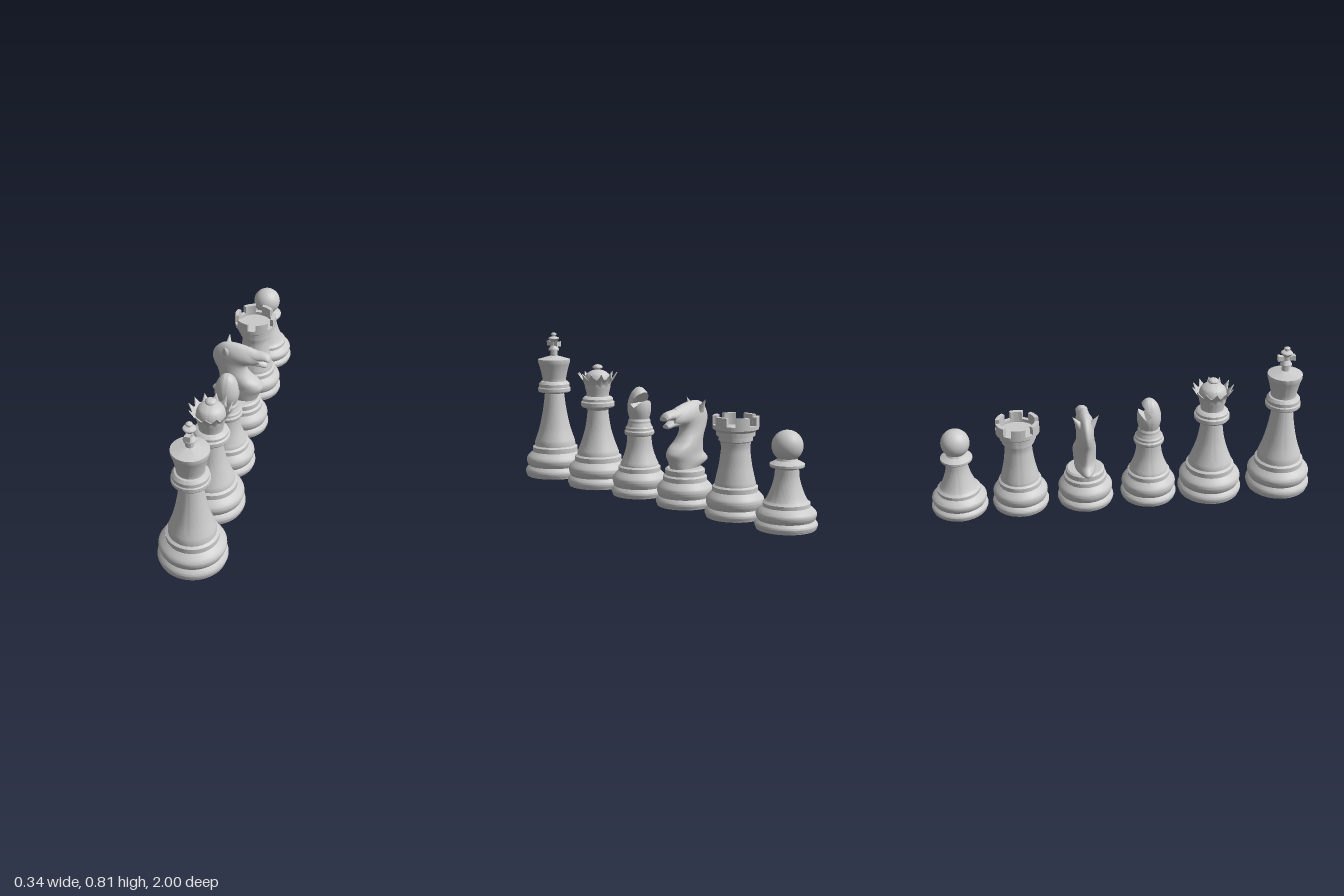
import * as THREE from 'three';
import { toCreasedNormals } from 'three/addons/utils/BufferGeometryUtils.js';

const mat = new THREE.MeshStandardMaterial({ color: 0xcccccc, side: THREE.DoubleSide });
const V2 = (p) => new THREE.Vector2(p[0], p[1]);

function add(group, name, geo) {
  const m = new THREE.Mesh(geo, mat);
  m.name = name;
  group.add(m);
  return m;
}

// Smooth run of profile points
const smooth = (pts, n = 14) =>
  new THREE.SplineCurve(pts.map(V2)).getPoints(n).map((p) => [p.x, p.y]);

const turn = (pts, seg = 64) => new THREE.LatheGeometry(pts.map(V2), seg);
const lathe = (pts, seg) => toCreasedNormals(turn(pts, seg), 0.5);

// Stepped foot: R radius, a foot roll top, b bulge top, c ring top
function foot(R, a, b, c) {
  return [
    [0, 0], [R * 0.955, 0],
    ...smooth([[R * 0.955, 0.002], [R, a * 0.4], [R * 0.98, a * 0.7], [R * 0.895, a]], 10),
    ...smooth([[R * 0.895, a], [R * 0.955, a + (b - a) * 0.3], [R * 0.94, a + (b - a) * 0.62], [R * 0.76, b]], 12),
    [R * 0.755, b], [R * 0.755, c], [R * 0.68, c + 0.008],
  ];
}

// Skin over sections [backX, backY, frontX, frontY, halfWidth]
function loft(sections, steps = 64, sides = 32) {
  const back = new THREE.CatmullRomCurve3(sections.map((s) => new THREE.Vector3(s[0], s[1], s[4])));
  const front = new THREE.CatmullRomCurve3(sections.map((s) => new THREE.Vector3(s[2], s[3], 0)));
  const pos = [], idx = [];
  for (let i = -1; i <= steps + 1; i++) {
    const t = THREE.MathUtils.clamp(i / steps, 0, 1);
    const k = i < 0 || i > steps ? 0 : 1; // collapsed end rings close the skin
    const b = back.getPoint(t), f = front.getPoint(t);
    for (let j = 0; j < sides; j++) {
      const a = (j / sides) * Math.PI * 2, c = Math.cos(a) * k;
      pos.push((b.x + f.x) / 2 + ((f.x - b.x) / 2) * c, (b.y + f.y) / 2 + ((f.y - b.y) / 2) * c,
        b.z * Math.sin(a) * (0.92 + 0.25 * c) * k);
    }
  }
  for (let i = 0; i < steps + 2; i++)
    for (let j = 0; j < sides; j++) {
      const n = (j + 1) % sides, p = i * sides, q = p + sides;
      idx.push(p + j, q + j, p + n, p + n, q + j, q + n);
    }
  const g = new THREE.BufferGeometry();
  g.setAttribute('position', new THREE.Float32BufferAttribute(pos, 3));
  g.setIndex(idx);
  g.computeVertexNormals();
  return g;
}

function king(g) {
  add(g, 'kingBody', lathe([
    ...foot(0.168, 0.058, 0.137, 0.163),
    ...smooth([[0.113, 0.195], [0.099, 0.235], [0.088, 0.27], [0.073, 0.335], [0.062, 0.4], [0.054, 0.467]]),
    [0.088, 0.475], [0.091, 0.48], [0.091, 0.497], [0.086, 0.502], [0.086, 0.52], [0.075, 0.534], [0.066, 0.537],
    ...smooth([[0.066, 0.548], [0.07, 0.57], [0.078, 0.605], [0.089, 0.641]], 8),
    [0.089, 0.658], [0.02, 0.678], [0.02, 0.708], [0, 0.708],
  ]));
  add(g, 'crossUpright', lathe([
    [0, 0.708], [0.03, 0.708], [0.03, 0.714], [0.017, 0.735], [0.017, 0.756], [0.031, 0.774], [0.028, 0.779],
    [0.01, 0.786], [0.01, 0.79], [0.016, 0.795], [0.015, 0.801], [0.007, 0.806], [0, 0.806],
  ], 24));
  for (const s of [1, -1]) {
    const arm = new THREE.CylinderGeometry(0.02, 0.012, 0.045, 4).toNonIndexed();
    arm.computeVertexNormals();
    arm.rotateY(Math.PI / 4).rotateX((s * Math.PI) / 2).translate(0, 0.746, s * 0.0225);
    add(g, 'crossArm', arm);
  }
}

function queen(g) {
  add(g, 'queenBody', lathe([
    ...foot(0.167, 0.055, 0.135, 0.16),
    ...smooth([[0.112, 0.185], [0.098, 0.22], [0.084, 0.26], [0.07, 0.31], [0.06, 0.37], [0.056, 0.412]]),
    [0.062, 0.42], [0.085, 0.427], [0.091, 0.435], [0.091, 0.454], [0.083, 0.46], [0.083, 0.473],
    [0.072, 0.483], [0.06, 0.487], [0.06, 0.5], [0.068, 0.53], [0.072, 0.565],
    ...smooth([[0.068, 0.588], [0.058, 0.607], [0.035, 0.622], [0.015, 0.628]], 10),
    ...smooth([[0.012, 0.63], [0.026, 0.636], [0.026, 0.646], [0.013, 0.655], [0, 0.657]], 10),
  ]));
  // Flared crown, its rim scooped between the points
  const crown = turn([[0.06, 0.5], [0.066, 0.53], [0.078, 0.565], [0.093, 0.592], [0.109, 0.612],
    [0.104, 0.612], [0.088, 0.592], [0.074, 0.565], [0.062, 0.53]], 96);
  const p = crown.attributes.position;
  for (let i = 0; i < p.count; i++) {
    const x = p.getX(i), y = p.getY(i), z = p.getZ(i), a = Math.atan2(z, x);
    const d = 0.034 * Math.abs(Math.sin(a * 6)) * THREE.MathUtils.clamp((y - 0.53) / 0.08, 0, 1);
    const k = 1 - (d * 0.6) / Math.hypot(x, z);
    p.setXYZ(i, x * k, y - d, z * k);
  }
  add(g, 'queenCrown', toCreasedNormals(crown, 0.5));
}

const smallFoot = foot(0.146, 0.047, 0.126, 0.148);

function bishop(g) {
  add(g, 'bishopBody', lathe([
    ...smallFoot,
    ...smooth([[0.099, 0.165], [0.088, 0.19], [0.074, 0.23], [0.066, 0.27], [0.063, 0.312]]),
    [0.075, 0.317], [0.078, 0.323], [0.078, 0.335], [0.072, 0.342], [0.072, 0.354], [0.064, 0.362],
    ...smooth([[0.064, 0.364], [0.058, 0.38], [0.058, 0.39]], 5), [0.052, 0.4], [0, 0.4],
  ]));
  // Pointed head with a slanted slot cut from the back
  const head = turn(smooth([[0.05, 0.395], [0.059, 0.43], [0.062, 0.46], [0.057, 0.495],
    [0.043, 0.532], [0.022, 0.557], [0, 0.566]], 110), 128);
  const p = head.attributes.position, c = Math.cos(0.86), s = Math.sin(0.86);
  for (let i = 0; i < p.count; i++) {
    const u = -p.getZ(i) - 0.008, v = p.getY(i) - 0.472;
    const along = u * c + v * s, across = v * c - u * s;
    if (along > 0 && Math.abs(across) < 0.018) {
      p.setZ(i, p.getZ(i) + along * c);
      p.setY(i, p.getY(i) - along * s);
    }
  }
  add(g, 'bishopHead', toCreasedNormals(head, 0.6));
}

function knight(g) {
  add(g, 'knightBase', lathe([...smallFoot, [0.1, 0.168], [0.1, 0.182], [0.09, 0.19], [0, 0.19]]));
  add(g, 'horseNeckAndHead', loft([
    [-0.095, 0.185, 0.085, 0.185, 0.055], [-0.16, 0.22, 0.103, 0.225, 0.06], [-0.126, 0.26, 0.116, 0.26, 0.062],
    [-0.12, 0.3, 0.1, 0.288, 0.063], [-0.128, 0.35, 0.06, 0.32, 0.058], [-0.148, 0.395, 0.035, 0.355, 0.05],
    [-0.156, 0.435, 0.028, 0.383, 0.047], [-0.143, 0.478, 0.035, 0.4, 0.048], [-0.1, 0.517, 0.05, 0.403, 0.05],
    [-0.04, 0.522, 0.075, 0.405, 0.047], [0.03, 0.508, 0.09, 0.408, 0.039], [0.075, 0.493, 0.105, 0.415, 0.033],
  ], 90));
  add(g, 'upperMuzzle', loft([
    [0.03, 0.505, 0.06, 0.43, 0.037], [0.08, 0.49, 0.09, 0.435, 0.035], [0.115, 0.485, 0.116, 0.44, 0.033],
    [0.14, 0.477, 0.138, 0.438, 0.033], [0.154, 0.46, 0.152, 0.437, 0.026],
  ], 24));
  add(g, 'lowerJaw', loft([
    [0.05, 0.45, 0.06, 0.403, 0.034], [0.09, 0.445, 0.1, 0.401, 0.03], [0.118, 0.432, 0.122, 0.396, 0.026],
    [0.138, 0.42, 0.137, 0.4, 0.02],
  ], 20));
  for (const s of [1, -1]) {
    const ear = add(g, 'horseEar', new THREE.ConeGeometry(0.021, 0.07, 20));
    ear.position.set(-0.079, 0.503, s * 0.047);
    ear.rotation.x = s * 0.6;
  }
}

function rook(g) {
  add(g, 'rookBody', lathe([
    ...smallFoot,
    ...smooth([[0.099, 0.165], [0.091, 0.2], [0.08, 0.25], [0.073, 0.3], [0.07, 0.335], [0.074, 0.365]]),
    [0.083, 0.371], [0.083, 0.392], [0.093, 0.394], [0.094, 0.415], [0.111, 0.428], [0.111, 0.447],
    [0.09, 0.447], [0.09, 0.43], [0, 0.43],
  ]));
  // Six battlements
  for (let i = 0; i < 6; i++) {
    const mid = (i * Math.PI) / 3, h = 0.325;
    const shape = new THREE.Shape();
    shape.absarc(0, 0, 0.111, mid - h, mid + h, false);
    shape.absarc(0, 0, 0.09, mid + h, mid - h, true);
    const geo = new THREE.ExtrudeGeometry(shape, { depth: 0.044, bevelEnabled: false, curveSegments: 10 });
    geo.rotateX(-Math.PI / 2).translate(0, 0.444, 0);
    add(g, 'battlement', toCreasedNormals(geo, 0.5));
  }
}

function pawn(g) {
  add(g, 'pawnBody', lathe([
    ...foot(0.146, 0.042, 0.105, 0.122),
    ...smooth([[0.095, 0.135], [0.083, 0.16], [0.068, 0.2], [0.058, 0.24], [0.055, 0.28]]),
    [0.078, 0.287], [0.081, 0.291], [0.081, 0.302], [0.05, 0.318], [0.042, 0.335], [0, 0.335],
  ]));
  add(g, 'pawnBall', new THREE.SphereGeometry(0.073, 48, 32)).position.y = 0.384;
}

export function createModel() {
  const root = new THREE.Group();
  root.name = 'chessPieces';
  const row = [[king, 0.832], [queen, 0.46], [bishop, 0.133], [knight, -0.2], [rook, -0.538], [pawn, -0.854]];
  for (const [build, z] of row) {
    const g = new THREE.Group();
    g.name = build.name;
    build(g);
    g.position.z = z;
    root.add(g);
  }
  return root;
}
